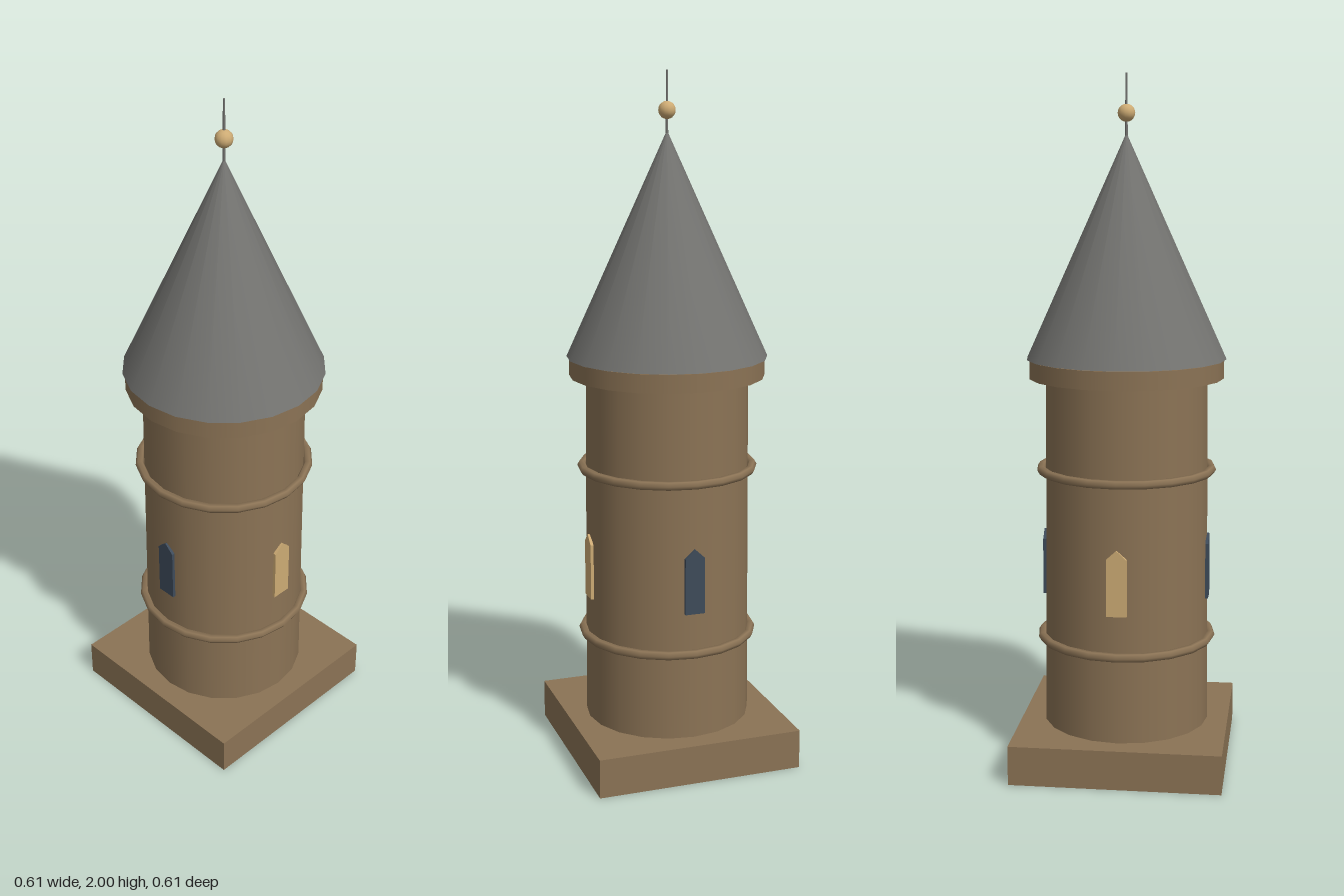
import * as THREE from 'three';

const SIDES = 20;

export function createModel() {
  const model = new THREE.Group();
  model.name = 'roundTower';

  const material = (name, color) => {
    const m = new THREE.MeshStandardMaterial({ color });
    m.name = name;
    return m;
  };
  const stone = material('stone', 0x8b7355);
  const slate = material('slate', 0x747471);
  const glass = material('darkGlass', 0x3e4b5a);
  const gold = material('warmGold', 0xcdab74);

  const add = (name, geometry, mat, y = 0) => {
    const mesh = new THREE.Mesh(geometry, mat);
    mesh.name = name;
    mesh.position.y = y;
    model.add(mesh);
    return mesh;
  };

  // Square plinth and slightly tapering shaft
  add('plinth', new THREE.BoxGeometry(0.61, 0.115, 0.61), stone, 0.0575);
  add('shaft', new THREE.CylinderGeometry(0.235, 0.244, 1.13, SIDES), stone, 0.585);

  // Moulded bands round the shaft
  for (const y of [0.372, 0.872]) {
    const band = new THREE.TorusGeometry(0.25, 0.013, 6, SIDES);
    band.rotateX(Math.PI / 2);
    add('band', band, stone, y);
  }

  // Cornice and conical roof
  add('cornice', new THREE.CylinderGeometry(0.283, 0.283, 0.053, SIDES), stone, 1.1665);
  add('roof', new THREE.ConeGeometry(0.29, 0.64, SIDES), slate, 1.515);

  // Finial: thin rod with a ball
  add('finialRod', new THREE.CylinderGeometry(0.003, 0.004, 0.2, 8), slate, 1.9);
  add('finialBall', new THREE.SphereGeometry(0.025, 12, 10), gold, 1.89);

  // Pointed windows on four sides, dark front and back, lit left and right
  const outline = new THREE.Shape([
    [-0.029, 0.49], [0.029, 0.49], [0.029, 0.655], [0, 0.682], [-0.029, 0.655],
  ].map(([x, y]) => new THREE.Vector2(x, y)));
  const pane = new THREE.ExtrudeGeometry(outline, { depth: 0.009, bevelEnabled: false });
  pane.translate(0, 0, 0.2355);
  ['front', 'left', 'back', 'right'].forEach((side, i) => {
    add(side + 'Window', pane, i % 2 ? gold : glass).rotation.y = (i * Math.PI) / 2;
  });

  return model;
}
